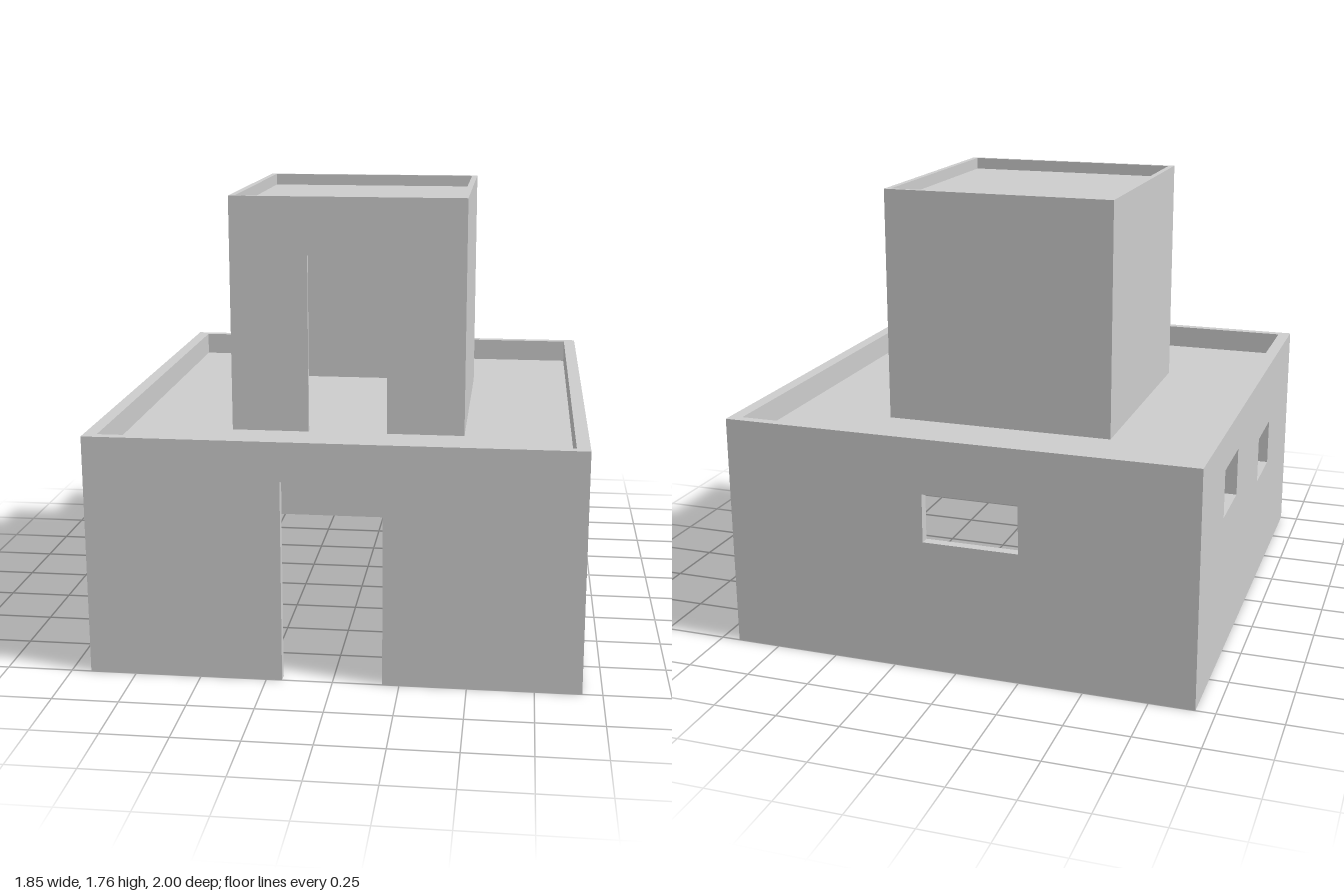
import * as THREE from 'three';

const material = new THREE.MeshStandardMaterial({ color: 0xcccccc, flatShading: true });

// Upright wall panel from u0 to u1; openings are [u0, u1, v0, v1], a door reaches the wall's foot.
function wallPanel(name, u0, u1, v0, v1, thickness, { door, windows = [] } = {}) {
  const shape = new THREE.Shape();
  shape.moveTo(u0, v0);
  if (door) {
    const [d0, d1, top] = door;
    shape.lineTo(d0, v0).lineTo(d0, top).lineTo(d1, top).lineTo(d1, v0);
  }
  shape.lineTo(u1, v0).lineTo(u1, v1).lineTo(u0, v1).closePath();
  for (const [a, b, c, d] of windows) {
    const hole = new THREE.Path();
    hole.moveTo(a, c).lineTo(a, d).lineTo(b, d).lineTo(b, c).closePath();
    shape.holes.push(hole);
  }
  const geometry = new THREE.ExtrudeGeometry(shape, { depth: thickness, bevelEnabled: false });
  const mesh = new THREE.Mesh(geometry, material);
  mesh.name = name;
  return mesh;
}

// One storey: four walls rising past a thin roof slab to form a parapet.
function storey(name, { x0, x1, z0, z1, y0, y1, tx, tz, slab, front, back, left, right }) {
  const group = new THREE.Group();
  group.name = name;

  const frontWall = wallPanel('frontWall', x0, x1, y0, y1, tz, front);
  frontWall.position.z = z1 - tz;
  const backWall = wallPanel('backWall', x0, x1, y0, y1, tz, back);
  backWall.position.z = z0;

  // Side walls fit between the front and back walls
  const leftWall = wallPanel('leftWall', z0 + tz, z1 - tz, y0, y1, tx, left);
  leftWall.rotation.y = -Math.PI / 2;
  leftWall.position.x = x1;
  const rightWall = wallPanel('rightWall', z0 + tz, z1 - tz, y0, y1, tx, right);
  rightWall.rotation.y = -Math.PI / 2;
  rightWall.position.x = x0 + tx;

  const [s0, s1] = slab;
  const roof = new THREE.Mesh(
    new THREE.BoxGeometry(x1 - x0 - 2 * tx, s1 - s0, z1 - z0 - 2 * tz), material);
  roof.name = 'roofSlab';
  roof.position.set((x0 + x1) / 2, (s0 + s1) / 2, (z0 + z1) / 2);

  group.add(frontWall, backWall, leftWall, rightWall, roof);
  return group;
}

export function createModel() {
  const model = new THREE.Group();
  model.name = 'house';

  // Ground floor, open underneath
  model.add(storey('groundFloor', {
    x0: -0.925, x1: 0.925, z0: -1, z1: 1, y0: 0, y1: 0.925,
    tx: 0.05, tz: 0.038, slab: [0.81, 0.83],
    front: { door: [-0.19, 0.187, 0.775] },
    back: { windows: [[-0.25, 0.125, 0.52, 0.71]] },
    left: { windows: [[0.315, 0.58, 0.34, 0.535], [-0.455, -0.19, 0.595, 0.785]] },
    right: { windows: [[0.195, 0.46, 0.465, 0.655], [-0.575, -0.31, 0.585, 0.775]] },
  }));

  // Roof room standing on the lower slab
  model.add(storey('roofRoom', {
    x0: -0.463, x1: 0.458, z0: -0.512, z1: 0.488, y0: 0.83, y1: 1.757,
    tx: 0.023, tz: 0.017, slab: [1.69, 1.71],
    front: { door: [-0.158, 0.153, 1.53] },
  }));

  return model;
}
